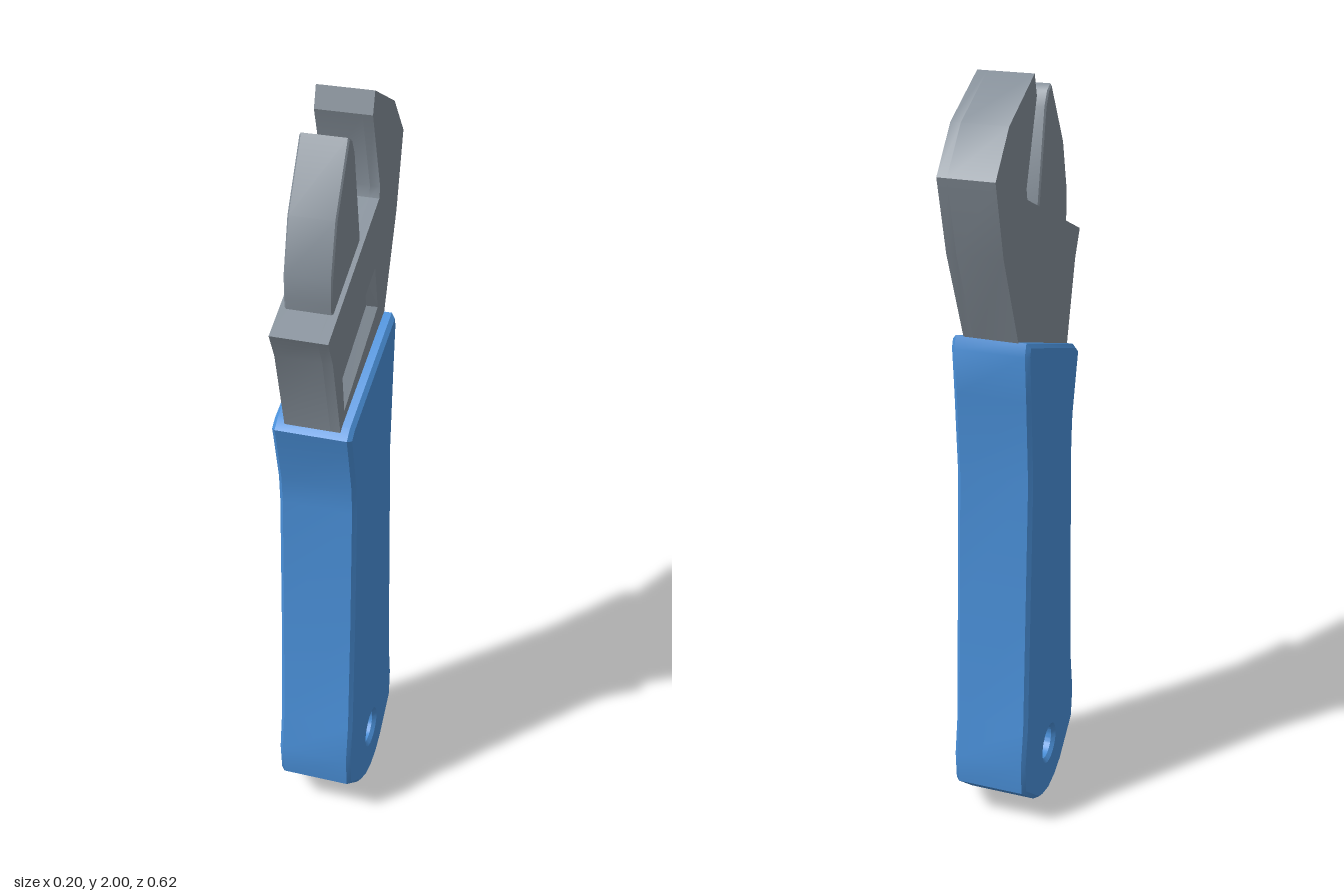
import * as THREE from 'three';
import { toCreasedNormals } from 'three/addons/utils/BufferGeometryUtils.js';

const steel = new THREE.MeshStandardMaterial({ color: 0x848e98 });
steel.name = 'steel grey';
const grip = new THREE.MeshStandardMaterial({ color: 0x4a90d9 });
grip.name = 'grip blue';

// Side profiles are lists of [z, y]; the profile is extruded along x.
const toVectors = (points) => points.map(([z, y]) => new THREE.Vector2(-z, y));

function slab(points, x0, x1, { bevel = 0, hole = null, crease = 0.6 } = {}) {
  const shape = new THREE.Shape(toVectors(points));
  if (hole) shape.holes.push(hole);
  const geometry = new THREE.ExtrudeGeometry(shape, {
    depth: x1 - x0 - 2 * bevel,
    bevelEnabled: bevel > 0,
    bevelThickness: bevel,
    bevelSize: bevel,
    bevelOffset: -bevel,
    bevelSegments: 1,
    curveSegments: 24,
  });
  geometry.translate(0, 0, x0 + bevel);
  geometry.rotateY(Math.PI / 2);
  return toCreasedNormals(geometry, crease);
}

// Sloped walls joining two matching [z, y] loops at different x.
function slopedWalls(outer, xOuter, inner, xInner) {
  const positions = [];
  outer.forEach((a, i) => {
    const j = (i + 1) % outer.length;
    const A = [xOuter, a[1], a[0]], B = [xOuter, outer[j][1], outer[j][0]];
    const C = [xInner, inner[j][1], inner[j][0]], D = [xInner, inner[i][1], inner[i][0]];
    positions.push(...A, ...B, ...C, ...A, ...C, ...D);
  });
  const geometry = new THREE.BufferGeometry();
  geometry.setAttribute('position', new THREE.Float32BufferAttribute(positions, 3));
  geometry.computeVertexNormals();
  return geometry;
}

const handleProfile = [
  [0.2, 1.262], [0.228, 1.24], [0.217, 1.2], [0.186, 1.075], [0.18, 1.0], [0.19, 0.65],
  [0.207, 0.32], [0.226, 0.21], [0.217, 0.12], [0.115, 0.034], [0.065, 0.01], [0.01, 0],
  [-0.045, 0.01], [-0.09, 0.034], [-0.187, 0.115], [-0.193, 0.2], [-0.175, 0.31],
  [-0.16, 0.65], [-0.144, 1.01], [-0.16, 1.235], [-0.171, 1.355], [-0.16, 1.387],
];

const headProfile = [
  [0.307, 1.54], [0.272, 1.47], [0.212, 1.25], [0.2, 1.15], [-0.1, 1.2], [-0.15, 1.36],
  [-0.26, 1.62], [-0.31, 1.81], [-0.222, 1.915], [-0.053, 2.0], [-0.037, 1.947],
  [-0.106, 1.745], [-0.1, 1.718],
];

const jawProfile = [
  [0.22, 1.5], [0.235, 1.6], [0.234, 1.66], [0.2, 1.79], [0.106, 1.947], [0.083, 1.935],
  [0.064, 1.9], [0.018, 1.67], [0.018, 1.58],
];

const pocketOuter = [[0.203, 1.437], [-0.072, 1.55], [-0.1, 1.43], [0.182, 1.295]];
const pocketInner = [[0.186, 1.431], [-0.064, 1.531], [-0.084, 1.438], [0.17, 1.317]];

export function createModel() {
  const group = new THREE.Group();
  group.name = 'adjustableWrench';
  const add = (name, geometry, material, parent = group) => {
    const mesh = new THREE.Mesh(geometry, material);
    mesh.name = name;
    parent.add(mesh);
  };

  // Grip with hanging hole
  const hangingHole = new THREE.Path();
  hangingHole.absarc(-0.012, 0.154, 0.046, 0, Math.PI * 2, true);
  add('handle', slab(handleProfile, -0.1, 0.1, { bevel: 0.01, hole: hangingHole, crease: 0.75 }), grip);

  // Head with fixed jaw, split at the pocket floor
  const head = new THREE.Group();
  head.name = 'head';
  group.add(head);
  const floorX = 0.045, halfWidth = 0.07;
  add('headBody', slab(headProfile, -halfWidth, floorX), steel, head);
  add('headPocketLayer', slab(headProfile, floorX, halfWidth,
    { hole: new THREE.Path(toVectors(pocketOuter)) }), steel, head);
  const wallMaterial = steel;
  add('pocketWalls', slopedWalls([...pocketOuter].reverse(), halfWidth,
    [...pocketInner].reverse(), floorX), wallMaterial, head);

  // Sliding jaw
  add('movableJaw', slab(jawProfile, -0.058, 0.058, { bevel: 0.004, crease: 0.6 }), steel);

  return group;
}
